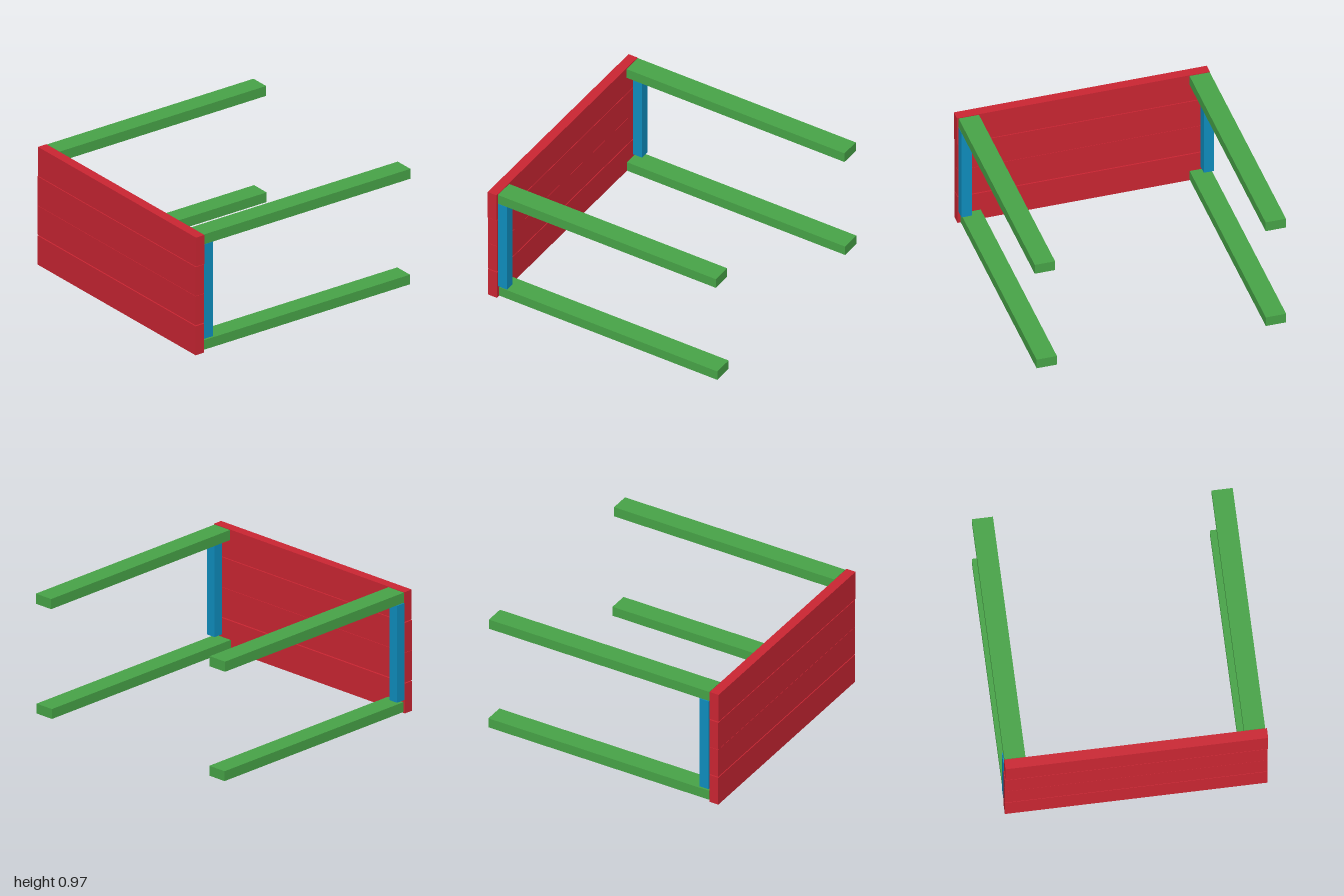
import * as THREE from 'three';

const RED = new THREE.MeshStandardMaterial({ color: 0xcc2633 });
const GREEN = new THREE.MeshStandardMaterial({ color: 0x48a548 });
const BLUE = new THREE.MeshStandardMaterial({ color: 0x0f8fc0 });

// Box given by its [min, max] extents on each axis
function beam(name, material, [x0, x1], [y0, y1], [z0, z1]) {
  const mesh = new THREE.Mesh(new THREE.BoxGeometry(x1 - x0, y1 - y0, z1 - z0), material);
  mesh.position.set((x0 + x1) / 2, (y0 + y1) / 2, (z0 + z1) / 2);
  mesh.name = name;
  return mesh;
}

export function createModel() {
  const model = new THREE.Group();
  model.name = 'plankFrame';

  // Four stacked front planks with narrow gaps; the top one sits slightly to the left
  const plankHeight = 0.238;
  [0, 0.2465, 0.487, 0.731].forEach((y, i) => {
    const shift = i === 3 ? 0.005 : 0;
    model.add(beam(`frontPlank${i + 1}`, RED,
      [-0.987 + shift, 0.981 + shift], [y, y + plankHeight], [0.922, 1]));
  });

  // Upright posts behind the planks
  model.add(beam('rightPost', BLUE, [-0.988, -0.908], [0.11, 0.886], [0.837, 0.916]));
  model.add(beam('leftPost', BLUE, [0.896, 0.976], [0.11, 0.886], [0.837, 0.916]));

  // Long rails running backwards, lower and upper pair
  const lower = [0.012, 0.091], upper = [0.886, 0.967];
  model.add(beam('lowerRightRail', GREEN, [-0.98, -0.822], lower, [-1, 0.914]));
  model.add(beam('lowerLeftRail', GREEN, [0.803, 0.961], lower, [-1, 0.914]));
  model.add(beam('upperRightRail', GREEN, [-0.98, -0.822], upper, [-0.995, 0.918]));
  model.add(beam('upperLeftRail', GREEN, [0.816, 0.974], upper, [-0.995, 0.918]));

  return model;
}
